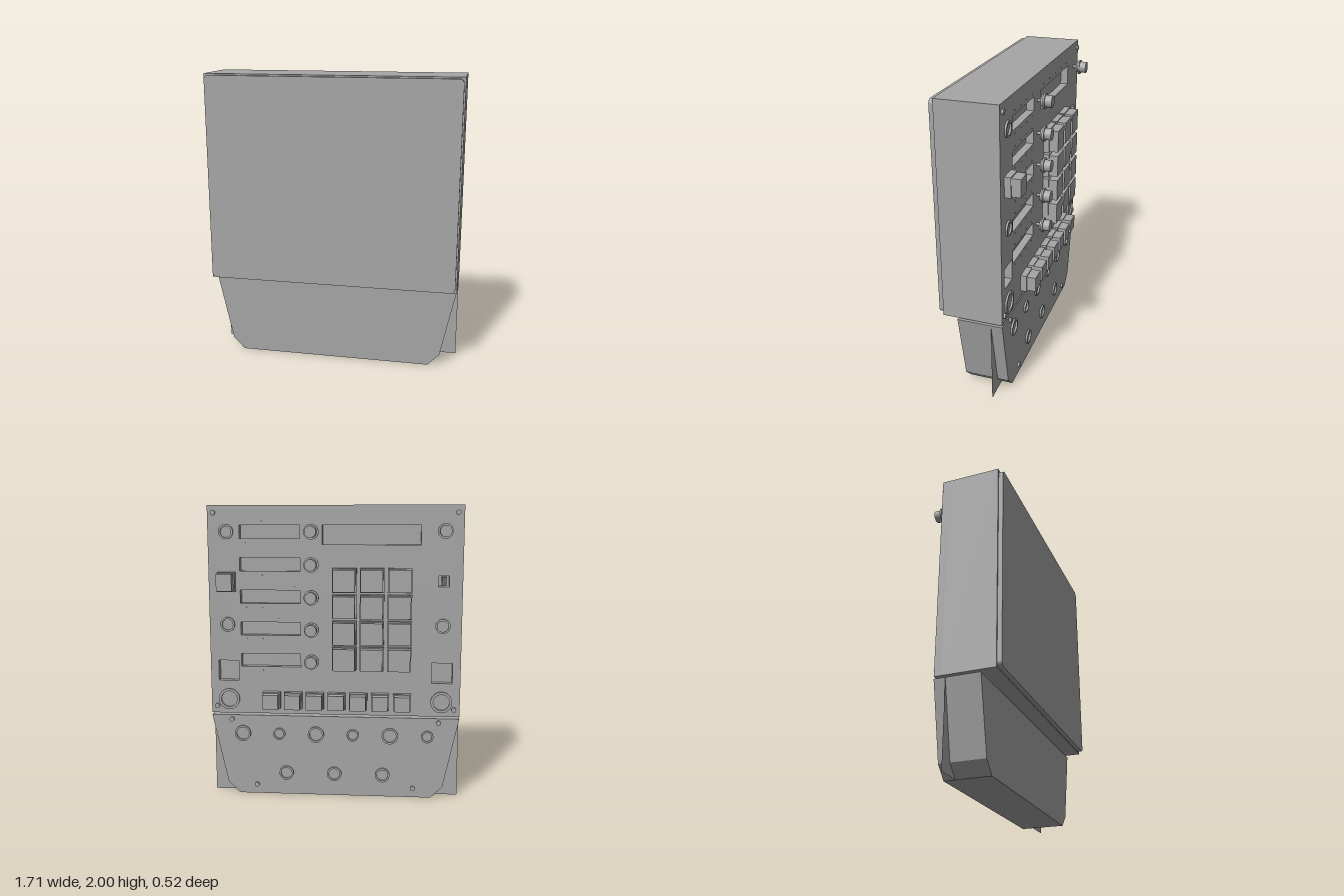
import * as THREE from 'three';

export function createModel() {
  const grey = new THREE.MeshStandardMaterial({ color: 0xa6a6a6 });
  grey.name = 'plain grey';
  const sheetGrey = grey; // one colour throughout
  sheetGrey.side = THREE.DoubleSide;
  const model = new THREE.Group();
  const BACK = -0.16; // plane of the control face

  const add = (name, geo, x, y, z, parent = model) => {
    const m = new THREE.Mesh(geo, grey);
    m.name = name;
    m.position.set(x, y, z);
    parent.add(m);
    return m;
  };
  const box = (name, w, h, d, x, y, z, parent) => add(name, new THREE.BoxGeometry(w, h, d), x, y, z, parent);
  const group = (name, x, y) => {
    const g = new THREE.Group();
    g.name = name;
    g.position.set(x, y, BACK);
    model.add(g);
    return g;
  };
  const poly = (pts) => new THREE.Shape(pts.map(([x, y]) => new THREE.Vector2(x, y)));
  const rect = (x0, x1, y0, y1) => poly([[x0, y0], [x1, y0], [x1, y1], [x0, y1]]);
  const extrude = (shape, depth) => new THREE.ExtrudeGeometry(shape, { depth, bevelEnabled: false, curveSegments: 16 });
  // round part standing on the control face, from p0 to p1 outwards
  const disc = (name, r, p0, p1, x, y, parent, seg = 24) => {
    const geo = new THREE.CylinderGeometry(r, r, p1 - p0, seg).rotateX(-Math.PI / 2);
    return add(name, geo, x, y, -(p0 + p1) / 2, parent);
  };

  // Main housing with windows cut in the control face
  const rows = [0, 1, 2, 3, 4].map((i) => 1.825 - i * 0.2175);
  const face = rect(-0.855, 0.855, 0.58, 2);
  const windows = rows.map((y) => [0.23, 0.64, y - 0.045, y + 0.045]);
  windows.push([-0.575, 0.08, 1.74, 1.87], [0.66, 0.8, 0.81, 0.95], [-0.8, -0.66, 0.81, 0.95], [-0.765, -0.695, 1.465, 1.535]);
  windows.forEach((w) => face.holes.push(rect(...w)));
  add('controlFace', extrude(face, 0.05), 0, 0, BACK);
  box('housing', 1.71, 1.42, 0.345, 0, 1.29, 0.0625);

  // Rounded front lid
  const lw = 0.845, y0 = 0.59, y1 = 1.99, r = 0.03;
  const lid = new THREE.Shape();
  lid.moveTo(-lw + r, y0);
  lid.lineTo(lw - r, y0);
  lid.absarc(lw - r, y0 + r, r, -Math.PI / 2, 0);
  lid.lineTo(lw, y1 - r);
  lid.absarc(lw - r, y1 - r, r, 0, Math.PI / 2);
  lid.lineTo(-lw + r, y1);
  lid.absarc(-lw + r, y1 - r, r, Math.PI / 2, Math.PI);
  lid.lineTo(-lw, y0 + r);
  lid.absarc(-lw + r, y0 + r, r, Math.PI, Math.PI * 1.5);
  add('frontLid', extrude(lid, 0.03), 0, 0, 0.235);

  // Lower tapered connector housing and the thin sheet through it
  const lower = poly([[-0.67, 0], [0.67, 0], [0.75, 0.08], [0.855, 0.565], [-0.855, 0.565], [-0.75, 0.08]]);
  add('lowerHousing', extrude(lower, 0.3), 0, 0, BACK);
  add('lowerSheet', new THREE.PlaneGeometry(1.71, 0.565), 0, 0.2825, -0.085);

  // Corner screws
  for (const s of [-1, 1]) {
    for (const [x, y] of [[0.815, 1.95], [0.815, 0.63], [0.715, 0.535], [0.545, 0.065]]) {
      disc('screw', 0.017, 0, 0.014, 0, 0, group('screwMount', s * x, y), 12);
    }
  }

  // Ring nuts
  const ring = (x, y, ro, ri) => {
    const g = group('ringNut', x, y);
    const s = new THREE.Shape().absarc(0, 0, ro, 0, Math.PI * 2);
    s.holes.push(new THREE.Path().absarc(0, 0, ri, 0, Math.PI * 2));
    add('ring', extrude(s, 0.012), 0, 0, -0.012, g);
  };
  ring(0.73, 1.825, 0.05, 0.037);
  ring(0.73, 1.2, 0.05, 0.037);
  ring(-0.73, 1.2, 0.05, 0.037);
  ring(0.73, 0.68, 0.073, 0.055);
  ring(-0.73, 0.68, 0.073, 0.055);
  for (let i = 0; i < 6; i++) {
    const big = i % 2 === 0;
    ring(0.64 - i * 0.256, 0.435, big ? 0.056 : 0.042, big ? 0.043 : 0.031);
  }
  [-0.335, 0, 0.335].forEach((x) => ring(x, 0.155, 0.05, 0.038));

  // Rotary knobs: shaft, body and collar
  const knob = (x, y) => {
    const g = group('knob', x, y);
    disc('knobShaft', 0.01, 0, 0.035, 0, 0, g, 12);
    disc('knobBody', 0.039, 0.03, 0.1, 0, 0, g);
    disc('knobCollar', 0.051, 0.043, 0.055, 0, 0, g);
  };
  rows.forEach((y) => knob(0.15, y));
  knob(-0.73, 1.83);

  // Push keys: wide foot with a slightly smaller cap
  const key = (x, y, w, h) => {
    const g = group('key', x, y);
    box('keyFoot', w, h, 0.04, 0, 0, -0.02, g);
    box('keyCap', w - 0.015, h - 0.015, 0.06, 0, 0, -0.07, g);
  };
  for (let c = 0; c < 3; c++) {
    for (let q = 0; q < 4; q++) key(-0.07 - c * 0.185, 1.505 - q * 0.176, 0.162, 0.162);
  }
  for (let i = 0; i < 7; i++) key(0.43 - i * 0.149, 0.68, 0.122, 0.115);
  key(0.73, 1.49, 0.12, 0.13);

  // Rocker switch in its small window
  const rocker = poly([[0, -0.03], [0.04, -0.03], [0.075, 0.03], [0, 0.03]]);
  const rk = add('rocker', extrude(rocker, 0.03), -0.745, 1.5, -0.11);
  rk.rotation.y = Math.PI / 2;

  // Tiny marker studs above and below each display
  const studs = (x0, x1, y, n) => {
    for (let i = 0; i < n; i++) {
      disc('markerStud', 0.004, 0, 0.003, 0, 0, group('studMount', x0 + ((x1 - x0) * i) / (n - 1), y), 6);
    }
  };
  rows.forEach((y) => {
    studs(0.27, 0.6, y + 0.07, 4);
    studs(0.27, 0.6, y - 0.07, 4);
  });
  studs(-0.53, 0.03, 1.9, 5);

  return model;
}
